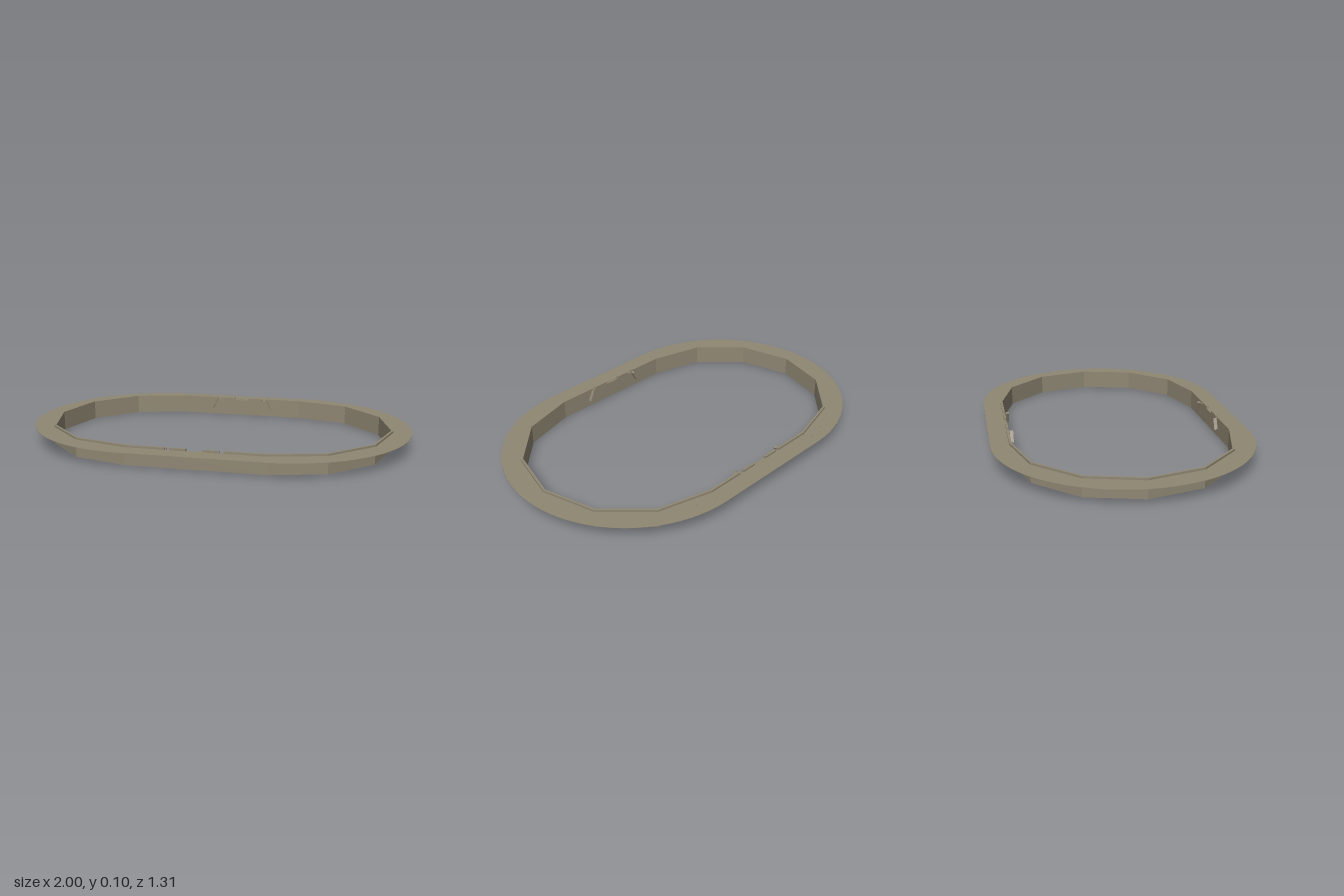
import * as THREE from 'three';

const HALF = 0.345; // half length of the straight sides

// Rounded end at +x: points from the -y side round to the +y side
function endArc(radius, segments) {
  return Array.from({ length: segments + 1 }, (_, i) => {
    const a = -Math.PI / 2 + (Math.PI * i) / segments;
    return new THREE.Vector2(HALF + radius * Math.cos(a), radius * Math.sin(a));
  });
}

// Closed oval made of two rounded ends
function oval(radius, segments) {
  const arc = endArc(radius, segments);
  return [...arc, ...arc.map((p) => p.clone().negate())];
}

// Extrude a plan outline upwards from y0 to y1
function slab(shape, y0, y1) {
  const g = new THREE.ExtrudeGeometry(shape, { depth: y1 - y0, bevelEnabled: false, curveSegments: 8 });
  g.rotateX(-Math.PI / 2);
  g.translate(0, y0, 0);
  return g;
}

export function createModel() {
  const root = new THREE.Group();
  const metal = new THREE.MeshStandardMaterial({ color: 0x8f8773 });
  metal.name = 'weathered khaki';

  const add = (name, geometry) => {
    const mesh = new THREE.Mesh(geometry, metal);
    mesh.name = name;
    root.add(mesh);
    return mesh;
  };

  const R = 0.56, r = 0.548; // outer and inner radius of the faceted wall

  // Continuous lower wall
  const wall = new THREE.Shape(oval(R, 6));
  wall.holes.push(new THREE.Path(oval(r, 6)));
  add('wall', slab(wall, 0, 0.0875));

  // Raised lip around each end, stopping at the narrow notches
  const notch = 0.144;
  const lip = new THREE.Shape([
    new THREE.Vector2(notch, -R), ...endArc(R, 6), new THREE.Vector2(notch, R),
    new THREE.Vector2(notch, r), ...endArc(r, 6).reverse(), new THREE.Vector2(notch, -r),
  ]);
  for (const side of [1, -1]) {
    const mesh = add(side > 0 ? 'leftLip' : 'rightLip', slab(lip, 0.0875, 0.1));
    if (side < 0) mesh.rotation.y = Math.PI;
  }

  // Thin flange with small fixing holes
  const flange = new THREE.Shape(oval(0.653, 40));
  flange.holes.push(new THREE.Path(oval(R, 6)));
  for (const sx of [1, -1]) {
    for (const sz of [1, -1]) {
      for (const [x, z] of [[0.355, 0.602], [0.463, 0.572]]) {
        flange.holes.push(new THREE.Path().absarc(sx * x, sz * z, 0.003, 0, Math.PI * 2, true));
      }
    }
  }
  add('flange', slab(flange, 0.0875, 0.0895));

  for (const sz of [1, -1]) {
    // Support strip under the flange along each straight side
    const strip = new THREE.BoxGeometry(HALF * 2, 0.003, 0.045);
    strip.translate(0, 0.086, sz * 0.5825);
    add('supportStrip', strip);

    for (const sx of [1, -1]) {
      // Short lip piece between the notches
      const piece = new THREE.BoxGeometry(0.082, 0.0125, R - r);
      piece.translate(sx * 0.081, 0.09375, sz * (R + r) / 2);
      add('lipSegment', piece);

      // Slanted bar on the inside of the wall
      const bar = new THREE.BoxGeometry(0.012, 0.062, 0.018);
      bar.rotateZ(sx * 0.45);
      bar.translate(sx * 0.16, 0.066, sz * 0.535);
      add('slantedBar', bar);
    }
  }
  return root;
}
